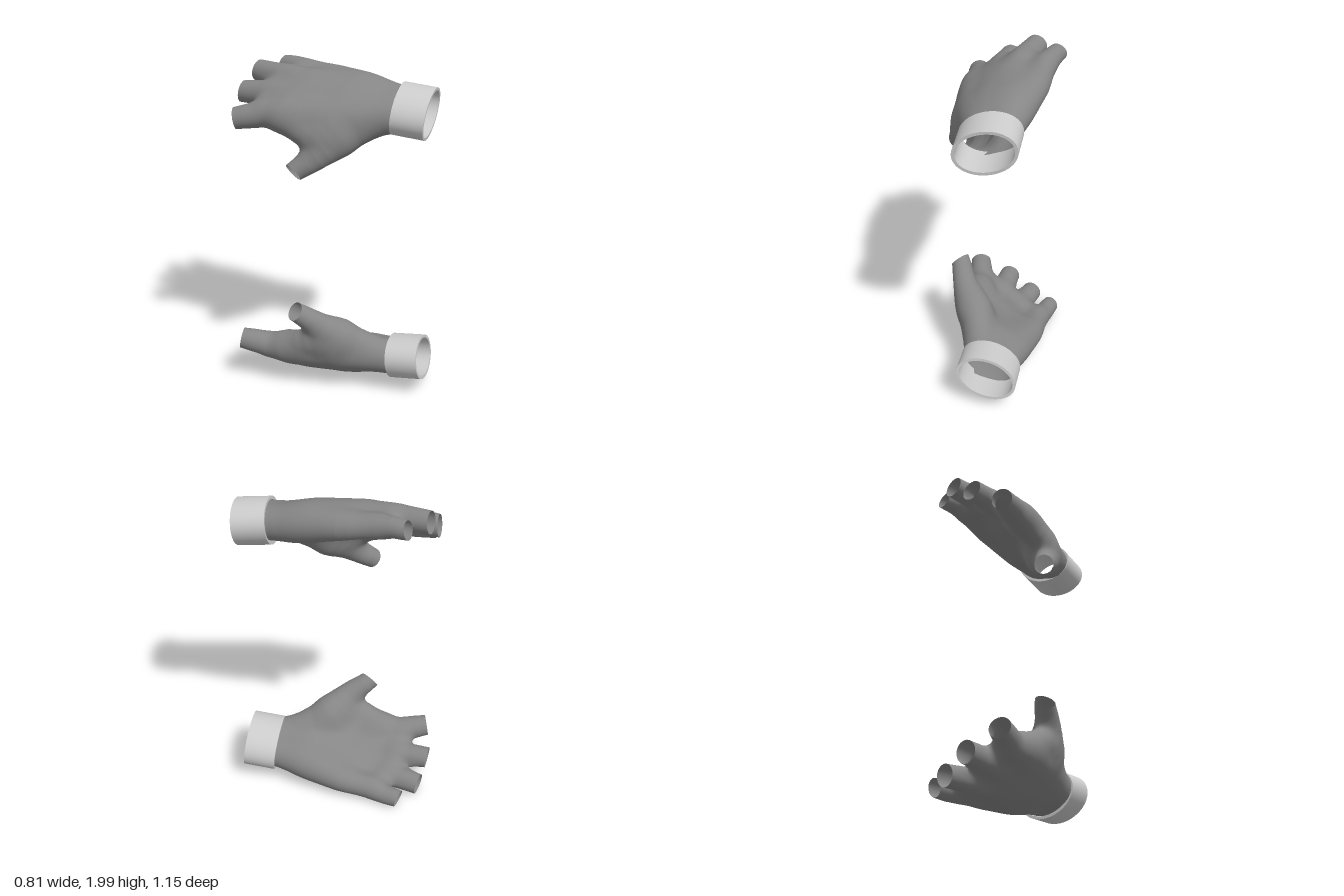
import * as THREE from 'three';
import { mergeVertices, toCreasedNormals } from 'three/addons/utils/BufferGeometryUtils.js';

const V = (x, y, z) => new THREE.Vector3(x, y, z);
const { smoothstep, lerp } = THREE.MathUtils;

// Strands of the glove as paths of [x, y, z, radius]; digits end in an opening
const digits = [
  [[0.165, 1.78, 0.46, 0.085], [0.066, 1.738, 0.28, 0.084], [-0.075, 1.632, 0.11, 0.094],
    [-0.19, 1.535, 0.025, 0.073], [-0.285, 1.445, -0.08, 0.058]], // thumb
  [[0.15, 1.77, 0.47, 0.087], [0.097, 1.78, 0.34, 0.087], [-0.095, 1.758, 0.06, 0.088],
    [-0.172, 1.764, -0.1, 0.086], [-0.23, 1.757, -0.25, 0.084], [-0.35, 1.715, -0.46, 0.064]],
  [[0.19, 1.785, 0.45, 0.087], [0.145, 1.795, 0.33, 0.087], [0.02, 1.825, 0.05, 0.09],
    [-0.115, 1.84, -0.28, 0.077], [-0.175, 1.825, -0.55, 0.065]],
  [[0.235, 1.795, 0.44, 0.087], [0.195, 1.808, 0.31, 0.087], [0.125, 1.857, 0.05, 0.087],
    [0.005, 1.905, -0.28, 0.074], [-0.015, 1.92, -0.567, 0.064]],
  [[0.28, 1.81, 0.42, 0.087], [0.243, 1.822, 0.285, 0.086], [0.218, 1.86, 0.05, 0.087],
    [0.204, 1.888, -0.12, 0.081], [0.165, 1.915, -0.3, 0.068], [0.157, 1.934, -0.42, 0.06], [0.155, 1.935, -0.51, 0.054]],
];
const webs = [
  [[-0.09, 1.65, 0.1, 0.07], [-0.205, 1.66, -0.04, 0.055], [-0.225, 1.722, -0.2, 0.058]], // thumb web
  [[-0.235, 1.77, -0.34, 0.048], [-0.115, 1.83, -0.36, 0.05], [0, 1.895, -0.36, 0.05], [0.14, 1.91, -0.34, 0.045]], // knuckles
];
const wristAxis = V(0.33, -0.1, 0.94).normalize();

// Openings: point, outward direction and reach of each cut, tilted slightly upwards on the fingers
const upTilt = [0, 0, 0.16, 0.08, 0.22];
const cuts = digits.map((path, i) => {
  const [a, b] = path.slice(-2).map((p) => V(...p));
  const dir = b.clone().sub(a).normalize();
  dir.y += upTilt[i];
  return { at: b, dir: dir.normalize(), width: b.w = path[path.length - 1][3] * 1.4, reach: 0.15 };
});
cuts[0].dir.set(-0.76, -0.58, -0.3).normalize();
cuts.push({ at: V(0.182, 1.8, 0.365), dir: wristAxis, width: 0.3, reach: 0.3 });

// Each digit runs a little past its opening so that the cut is clean
digits.forEach((path, i) => {
  const end = path[path.length - 1], d = cuts[i].dir;
  path.push([end[0] + d.x * 0.05, end[1] + d.y * 0.05, end[2] + d.z * 0.05, end[3]]);
});

// Paths rounded into smooth curves
function smoothPath(path) {
  const curve = new THREE.CatmullRomCurve3(path.map((p) => V(p[0], p[1], p[2])));
  const n = (path.length - 1) * 3;
  return Array.from({ length: n + 1 }, (_, i) => {
    const s = Math.min(Math.floor(i / 3), path.length - 2);
    return [...curve.getPoint(i / n).toArray(), lerp(path[s][3], path[s + 1][3], i / 3 - s)];
  });
}
const strands = [...digits, ...webs].map(smoothPath);

// Distance to a tapering path
function pathDistance(path, x, y, z) {
  let best = 9;
  for (let i = 0; i + 1 < path.length; i++) {
    const a = path[i], b = path[i + 1];
    const dx = b[0] - a[0], dy = b[1] - a[1], dz = b[2] - a[2];
    const px = x - a[0], py = y - a[1], pz = z - a[2];
    let t = (px * dx + py * dy + pz * dz) / (dx * dx + dy * dy + dz * dz);
    t = Math.min(1, Math.max(0, t));
    const d = Math.sqrt((px - dx * t) ** 2 + (py - dy * t) ** 2 + (pz - dz * t) ** 2);
    best = Math.min(best, d - a[3] - (b[3] - a[3]) * t);
  }
  return best;
}

// All strands blended into one hand, most softly across the palm
function hand(x, y, z) {
  const k = 0.06 + 0.06 * smoothstep(z, -0.38, -0.15) * (1 - smoothstep(z, 0.08, 0.32));
  let d = 9;
  for (const path of strands) {
    const e = pathDistance(path, x, y, z);
    const h = Math.max(k - Math.abs(d - e), 0) / k;
    d = Math.min(d, e) - h * h * k * 0.25;
  }
  return d;
}

function gradient(p) {
  const e = 0.008;
  return V(
    hand(p.x + e, p.y, p.z) - hand(p.x - e, p.y, p.z),
    hand(p.x, p.y + e, p.z) - hand(p.x, p.y - e, p.z),
    hand(p.x, p.y, p.z + e) - hand(p.x, p.y, p.z - e)
  ).normalize();
}

// Skin of the hand, meshed on a grid with one vertex per crossed cell
function gloveGeometry() {
  const h = 0.0115, o = [-0.52, 1.28, -0.72];
  const n = [90, 72, 120];
  const step = [1, n[0], n[0] * n[1]];
  const field = new Float32Array(n[0] * n[1] * n[2]).fill(1);
  const cellVertex = new Int32Array(field.length).fill(-1);
  const eachCell = (lo, fn) => {
    for (let k = lo; k < n[2] - 1; k++)
      for (let j = lo; j < n[1] - 1; j++)
        for (let i = lo; i < n[0] - 1; i++) fn(i, j, k, i + j * step[1] + k * step[2]);
  };
  eachCell(0, (i, j, k, id) => { field[id] = hand(o[0] + i * h, o[1] + j * h, o[2] + k * h); });

  const points = [], normals = [], isCut = [];
  eachCell(0, (i, j, k, id) => {
    let count = 0;
    for (let c = 0; c < 8; c++) {
      if (field[id + (c & 1) + ((c >> 1) & 1) * step[1] + (c >> 2) * step[2]] < 0) count++;
    }
    if (count === 0 || count === 8) return;
    const p = V(o[0] + (i + 0.5) * h, o[1] + (j + 0.5) * h, o[2] + (k + 0.5) * h);
    for (let s = 0; s < 2; s++) p.addScaledVector(gradient(p), -hand(p.x, p.y, p.z));
    const normal = gradient(p);
    // vertices beyond an opening are pulled back to its rim
    let cut = false;
    for (const c of cuts) {
      const v = p.clone().sub(c.at), over = v.dot(c.dir);
      if (over > 0 && over < c.reach && v.addScaledVector(c.dir, -over).length() < c.width) {
        p.addScaledVector(c.dir, -over);
        cut = true;
      }
    }
    cellVertex[id] = isCut.length;
    isCut.push(cut);
    points.push(p.x, p.y, p.z);
    normals.push(normal.x, normal.y, normal.z);
  });

  const index = [];
  eachCell(1, (i, j, k, id) => {
    for (let a = 0; a < 3; a++) {
      const inside = field[id] < 0;
      if (inside === field[id + step[a]] < 0) continue;
      const b = step[(a + 1) % 3], c = step[(a + 2) % 3];
      const q = [id, id - b, id - b - c, id - c].map((m) => cellVertex[m]);
      if (q.every((m) => isCut[m])) continue;
      if (!inside) q.reverse();
      index.push(q[0], q[1], q[2], q[0], q[2], q[3]);
    }
  });
  const g = new THREE.BufferGeometry();
  g.setAttribute('position', new THREE.Float32BufferAttribute(points, 3));
  g.setAttribute('normal', new THREE.Float32BufferAttribute(normals, 3));
  g.setIndex(index);
  return g;
}

// Oval band around the wrist
function cuffGeometry() {
  const shape = new THREE.Shape().absellipse(0, 0, 0.186, 0.137, 0, Math.PI * 2);
  shape.holes.push(new THREE.Path().absellipse(0, 0, 0.168, 0.119, 0, Math.PI * 2));
  const band = new THREE.ExtrudeGeometry(shape, { depth: 0.195, bevelEnabled: false, curveSegments: 40 });
  const place = new THREE.Object3D();
  place.position.set(0.172, 1.798, 0.331);
  place.lookAt(place.position.clone().add(wristAxis));
  place.rotateZ(0.33);
  place.updateMatrix();
  band.deleteAttribute('uv');
  return mergeVertices(toCreasedNormals(band.applyMatrix4(place.matrix), 0.6));
}

// Upside-down twin about the height y = 1
function mirrored(geometry) {
  const g = geometry.clone().scale(1, -1, 1).translate(0, 2, 0);
  const ix = g.index.array;
  for (let i = 0; i < ix.length; i += 3) [ix[i], ix[i + 1]] = [ix[i + 1], ix[i]];
  return g;
}

export function createModel() {
  const fabric = new THREE.MeshStandardMaterial({ color: 0x868686, side: THREE.DoubleSide });
  const band = new THREE.MeshStandardMaterial({ color: 0xcccccc });
  const skin = gloveGeometry(), cuff = cuffGeometry();
  const model = new THREE.Group();
  model.name = 'fingerlessGloves';
  for (const [name, form] of [['upperGlove', (g) => g], ['lowerGlove', mirrored]]) {
    const glove = new THREE.Group();
    glove.name = name;
    const hide = new THREE.Mesh(form(skin), fabric);
    hide.name = 'gloveBody';
    const ring = new THREE.Mesh(form(cuff), band);
    ring.name = 'cuff';
    glove.add(hide, ring);
    model.add(glove);
  }
  return model;
}
